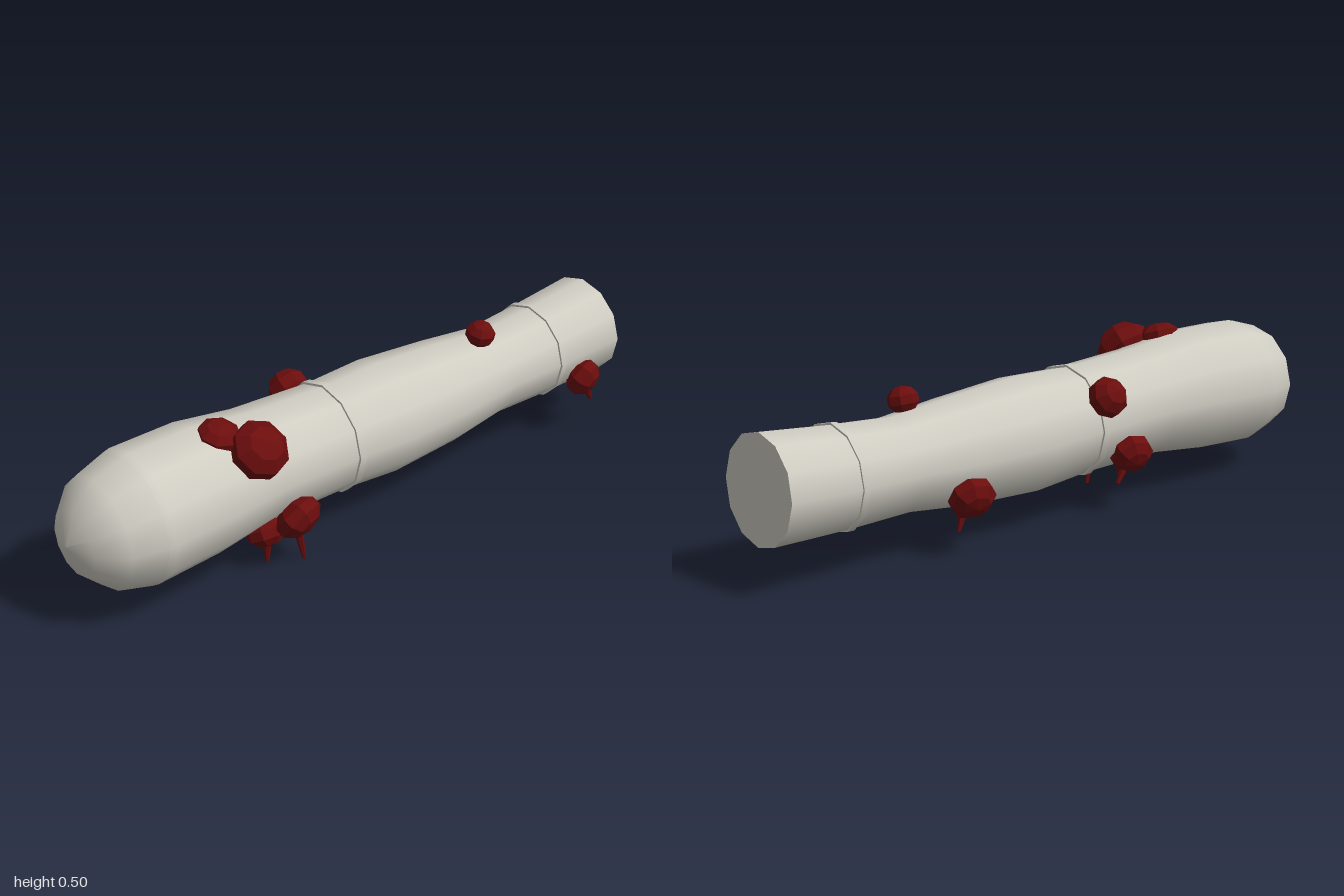
import * as THREE from 'three';

// Centre line height along the length: [x, y]
const SPINE = [[-1, 0.27], [-0.8, 0.275], [-0.57, 0.282], [-0.38, 0.28], [-0.1, 0.27], [0.1, 0.265],
  [0.35, 0.261], [0.55, 0.263], [0.75, 0.269], [1, 0.284]];

function spineY(x) {
  let i = 1;
  while (i < SPINE.length - 1 && x > SPINE[i][0]) i++;
  const [x0, y0] = SPINE[i - 1], [x1, y1] = SPINE[i];
  return y0 + (y1 - y0) * THREE.MathUtils.clamp((x - x0) / (x1 - x0), 0, 1);
}

export function createModel() {
  const group = new THREE.Group();
  const skin = new THREE.MeshStandardMaterial({ color: 0xcfccc2 });
  skin.name = 'pale grey';
  const growth = new THREE.MeshStandardMaterial({ color: 0x6b0d0d, flatShading: true });
  growth.name = 'dark red';

  function add(name, geometry, material, parent = group) {
    const mesh = new THREE.Mesh(geometry, material);
    mesh.name = name;
    parent.add(mesh);
    return mesh;
  }

  // Twelve-sided section turned along x from [x, radius] points, then bent along the spine
  function turned(name, profile) {
    const g = new THREE.LatheGeometry(profile.map(([x, r]) => new THREE.Vector2(r, x)), 12);
    g.rotateZ(-Math.PI / 2);
    const p = g.attributes.position;
    for (let i = 0; i < p.count; i++) {
      const x = p.getX(i), y = p.getY(i);
      const lean = 0.05 * THREE.MathUtils.smoothstep(x, 0.5, 1);
      p.setXYZ(i, x - y * lean, y + spineY(x), p.getZ(i));
    }
    return add(name, g, skin);
  }

  turned('roundedEnd', [[-1, 0], [-0.973, 0.095], [-0.9, 0.165], [-0.8, 0.193]]);
  turned('body', [[-0.8, 0.193], [-0.78, 0.197], [-0.57, 0.193], [-0.38, 0.169], [-0.1, 0.164], [0.1, 0.175],
    [0.35, 0.16], [0.55, 0.138], [0.75, 0.147], [0.99, 0.157]]);
  turned('flatEnd', [[0.99, 0.157], [0.99, 0]]);

  // Raised bands, built as three crisp strips each
  for (const [x, r, w] of [[-0.1, 0.171, 0.012], [0.75, 0.153, 0.01]]) {
    turned('bandSide', [[x - w, r - 0.02], [x - w, r]]);
    turned('band', [[x - w, r], [x + w, r]]);
    turned('bandSide', [[x + w, r], [x + w, r - 0.02]]);
  }

  // Faceted lumps: centre, radius, height off the skin, lean, optional drip tip
  const lumps = [
    { at: [-0.455, 0.42, 0.14], r: 0.084, h: 0.062 },
    { at: [-0.525, 0.457, 0.055], r: 0.06, h: 0.034 },
    { at: [0.48, 0.428, 0.045], r: 0.045, h: 0.038 },
    { at: [-0.335, 0.163, 0.157], r: 0.074, h: 0.048, lean: 0.25, tip: [-0.298, 0, 0.135] },
    { at: [-0.4, 0.11, 0.09], r: 0.058, h: 0.042, tip: [-0.398, 0.01, 0.092] },
    { at: [0.845, 0.193, 0.148], r: 0.062, h: 0.045, lean: 0.25, tip: [0.903, 0.093, 0.135] },
    { at: [0.395, 0.17, -0.15], r: 0.068, h: 0.045, lean: 0.2, tip: [0.427, 0.075, -0.128] },
    { at: [-0.21, 0.178, -0.155], r: 0.066, h: 0.045, lean: 0.2, tip: [-0.16, 0.095, -0.15] },
    { at: [-0.11, 0.37, -0.157], r: 0.06, h: 0.052 },
  ];
  const up = new THREE.Vector3(0, 1, 0);
  for (const { at, r, h, lean = 0, tip } of lumps) {
    const cluster = new THREE.Group();
    cluster.name = tip ? 'drippingLump' : 'lump';
    group.add(cluster);
    const centre = new THREE.Vector3(...at);
    const normal = new THREE.Vector3(0, at[1] - spineY(at[0]), at[2]).normalize();
    normal.x = lean;
    normal.normalize();
    const lump = add('lumpBody', new THREE.SphereGeometry(1.04, 8, 5), growth, cluster);
    lump.scale.set(r, h, r);
    lump.quaternion.setFromUnitVectors(up, normal);
    lump.position.copy(centre);

    if (!tip) continue;
    // Tapered drip from inside the lump down to its tip
    const end = new THREE.Vector3(...tip);
    const start = new THREE.Vector3(THREE.MathUtils.lerp(at[0], tip[0], 0.2), at[1] - 0.015, tip[2]);
    const dir = start.clone().sub(end);
    const drip = add('drip', new THREE.CylinderGeometry(0.017, 0.006, dir.length(), 6), growth, cluster);
    drip.position.copy(start).add(end).multiplyScalar(0.5);
    drip.quaternion.setFromUnitVectors(up, dir.normalize());
  }
  return group;
}
